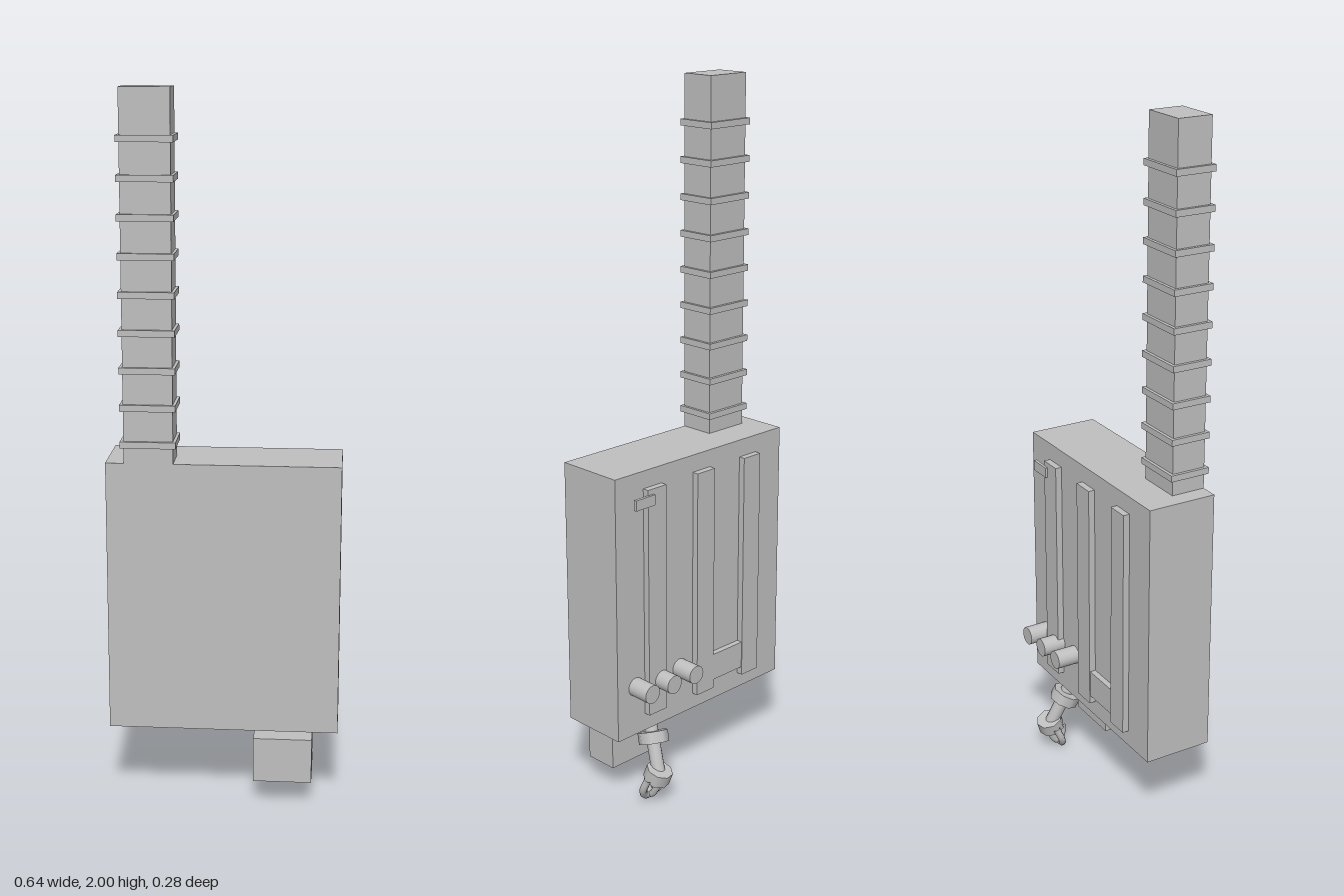
import * as THREE from 'three';

export function createModel() {
  const model = new THREE.Group();
  const grey = new THREE.MeshStandardMaterial({ color: 0xbfbfbf });
  grey.name = 'plain grey';

  const add = (name, geometry) => {
    const mesh = new THREE.Mesh(geometry, grey);
    mesh.name = name;
    model.add(mesh);
    return mesh;
  };
  // Box given by its extents on each axis
  const box = (name, x0, x1, y0, y1, z0, z1) => {
    const mesh = add(name, new THREE.BoxGeometry(x1 - x0, y1 - y0, z1 - z0));
    mesh.position.set((x0 + x1) / 2, (y0 + y1) / 2, (z0 + z1) / 2);
    return mesh;
  };
  // Cylinder running between two points
  const rod = (name, from, to, radius, sides) => {
    const a = new THREE.Vector3(...from), b = new THREE.Vector3(...to);
    const dir = b.clone().sub(a);
    const mesh = add(name, new THREE.CylinderGeometry(radius, radius, dir.length(), sides));
    mesh.position.copy(a).add(b).multiplyScalar(0.5);
    mesh.quaternion.setFromUnitVectors(new THREE.Vector3(0, 1, 0), dir.normalize());
    return mesh;
  };

  // Main cabinet and the small separate box beneath it
  box('cabinet', -0.322, 0.322, 0.228, 1, -0.07, 0.132);
  box('lowerBox', 0.085, 0.25, 0.075, 0.205, 0.035, 0.135);

  // Square duct with evenly spaced bands
  box('duct', -0.271, -0.136, 1, 2, 0.032, 0.132);
  for (let i = 0; i < 9; i++) {
    const y = 1.053 + i * 0.102;
    box('ductBand', -0.28, -0.128, y - 0.009, y + 0.009, 0.023, 0.141);
  }

  // Rear rails, their lower link, and the latch beside the single rail
  box('railLeft', 0.152, 0.22, 0.28, 0.95, -0.089, -0.07);
  box('railMiddle', -0.035, 0.032, 0.275, 0.95, -0.089, -0.07);
  box('railRight', -0.22, -0.154, 0.275, 0.95, -0.089, -0.07);
  box('railLink', -0.154, -0.035, 0.3, 0.38, -0.087, -0.07);
  box('latch', 0.2, 0.27, 0.905, 0.935, -0.096, -0.087);

  // Three round knobs
  for (const x of [0.084, 0.17, 0.254]) {
    rod('knob', [x, 0.375, -0.07], [x, 0.375, -0.138], 0.027, 24);
  }

  // Hanging pipe with two tilted collars
  rod('pipe', [0.168, 0.235, -0.032], [0.194, 0.085, -0.098], 0.02, 10);
  rod('upperCollar', [0.171, 0.197, -0.048], [0.177, 0.167, -0.061], 0.044, 8);
  rod('lowerCollar', [0.194, 0.105, -0.102], [0.198, 0.07, -0.09], 0.039, 8);

  // Curved hook closing the end of the pipe
  const hookPath = new THREE.CatmullRomCurve3([
    [0.16, 0.085, -0.095], [0.158, 0.045, -0.078], [0.178, 0.018, -0.066],
    [0.199, 0.012, -0.062], [0.22, 0.019, -0.066], [0.237, 0.045, -0.078],
    [0.234, 0.085, -0.095],
  ].map((p) => new THREE.Vector3(...p)));
  add('hook', new THREE.TubeGeometry(hookPath, 20, 0.011, 8));
  const crossPath = new THREE.CatmullRomCurve3([
    [0.196, 0.075, -0.055], [0.198, 0.035, -0.055], [0.199, 0.016, -0.07],
    [0.199, 0.04, -0.09], [0.198, 0.08, -0.1],
  ].map((p) => new THREE.Vector3(...p)));
  add('hookBrace', new THREE.TubeGeometry(crossPath, 14, 0.01, 8));

  return model;
}
